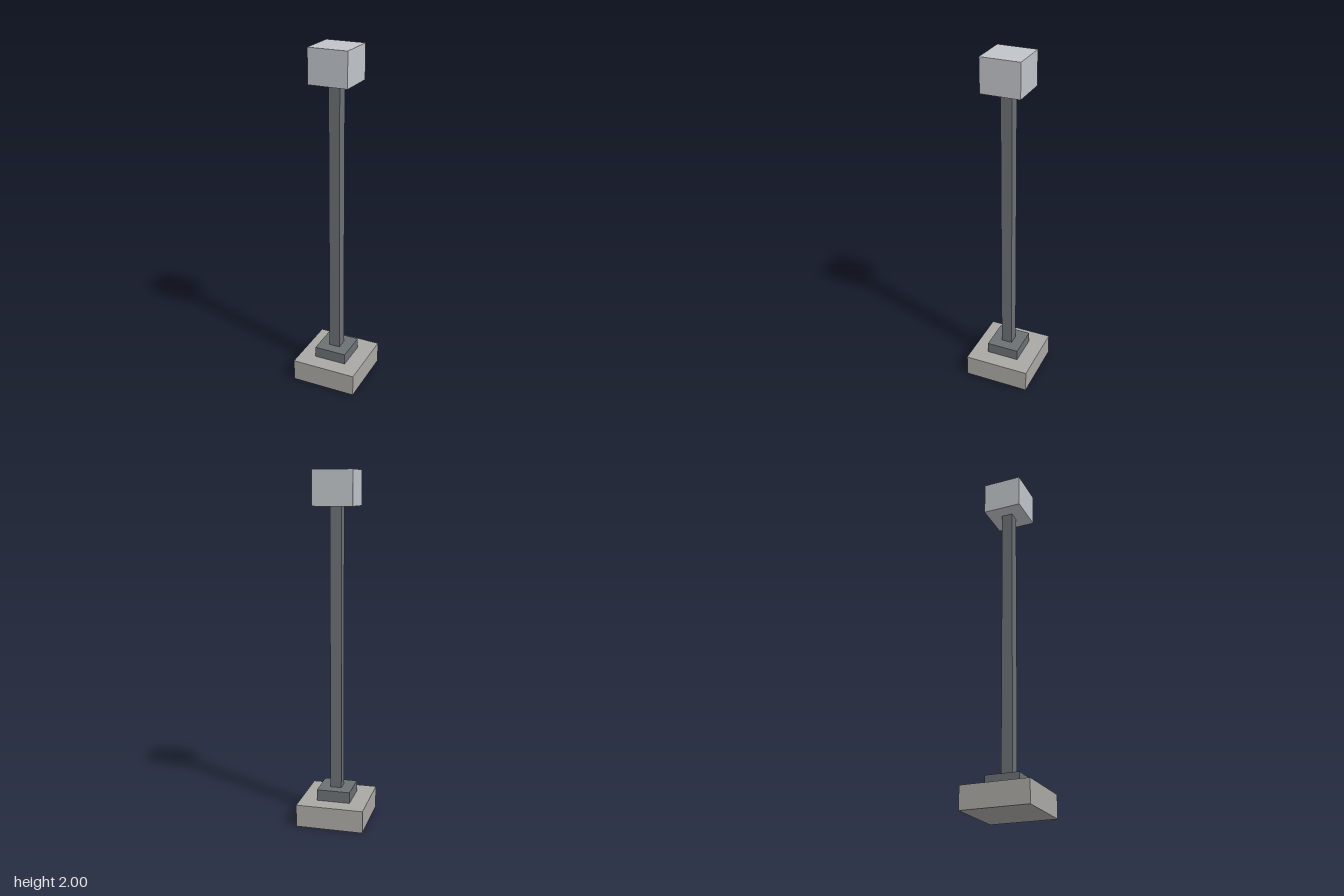
import * as THREE from 'three';

const U = 2 / 62; // grid unit: the whole lamp post is 62 units tall

export function createModel() {
  const group = new THREE.Group();
  const material = (name, color) => {
    const m = new THREE.MeshStandardMaterial({ color });
    m.name = name;
    return m;
  };
  const stone = material('stone', 0xaaa8a3);
  const darkMetal = material('dark metal', 0x6b7074);
  const paleGlass = material('pale grey', 0xc0c4c9);

  // Square block from bottom to top, in grid units
  const block = (name, width, bottom, top, mat) => {
    const geometry = new THREE.BoxGeometry(width * U, (top - bottom) * U, width * U);
    const mesh = new THREE.Mesh(geometry, mat);
    mesh.name = name;
    mesh.position.y = ((bottom + top) / 2) * U;
    group.add(mesh);
  };

  block('base', 12, 0, 4, stone);
  block('collar', 6, 4, 6, darkMetal);
  block('post', 2, 6, 56, darkMetal);
  block('head', 7, 56, 62, paleGlass);

  return group;
}
